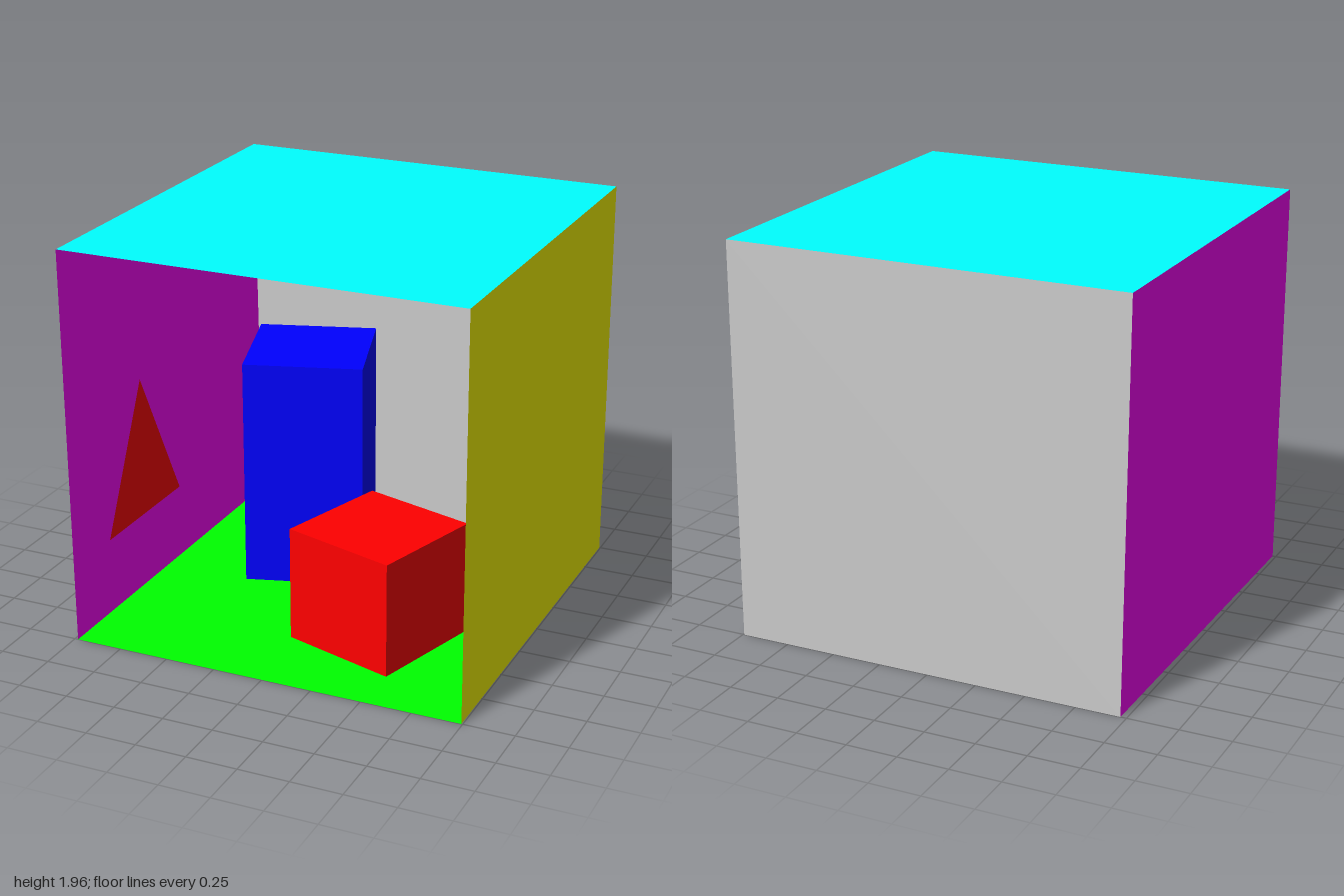
import * as THREE from 'three';

const TOP = 1.963, BASE = 0.018;

function paint(geometry, color, name) {
  const material = new THREE.MeshStandardMaterial({ color, side: THREE.DoubleSide, flatShading: true });
  const mesh = new THREE.Mesh(geometry, material);
  mesh.name = name;
  return mesh;
}

// Flat panel from three or four corners, fanned from the first one
function panel(name, color, corners) {
  const g = new THREE.BufferGeometry();
  g.setAttribute('position', new THREE.Float32BufferAttribute(corners.flat(), 3));
  g.setIndex(corners.length === 4 ? [0, 1, 2, 0, 2, 3] : [0, 1, 2]);
  g.computeVertexNormals();
  return paint(g, color, name);
}

// Upright block from its footprint, given as [x, z] corners
function block(name, color, footprint, top) {
  const shape = new THREE.Shape(footprint.map(([x, z]) => new THREE.Vector2(x, -z)));
  const g = new THREE.ExtrudeGeometry(shape, { depth: top - BASE, bevelEnabled: false });
  g.rotateX(-Math.PI / 2).translate(0, BASE, 0);
  return paint(g, color, name);
}

export function createModel() {
  const room = new THREE.Group();
  room.name = 'openRoom';

  const w = 0.994; // half width; the purple wall leans in slightly at its foot
  const footFront = -0.983, footBack = -0.971;

  // Room shell, open at the front
  room.add(
    panel('floor', 0x00ff00, [[footFront, 0, 1], [w, 0, 1], [w, 0, -1], [footBack, 0, -1]]),
    panel('ceiling', 0x00ffff, [[-w, TOP, 1], [-w, TOP, -1], [w, TOP, -1], [w, TOP, 1]]),
    panel('backWall', 0xcccccc, [[footBack, 0, -1], [w, 0, -1], [w, TOP, -1], [-w, TOP, -1]]),
    panel('leftWall', 0xffff00, [[w, 0, -1], [w, 0, 1], [w, TOP, 1], [w, TOP, -1]]),
    panel('rightWall', 0xff00ff, [[footFront, 0, 1], [footBack, 0, -1], [-w, TOP, -1], [-w, TOP, 1]]),
  );

  // Triangle lying just off the leaning wall
  const onWall = (y, z) => {
    const foot = THREE.MathUtils.lerp(footBack, footFront, (z + 1) / 2);
    return [THREE.MathUtils.lerp(foot, -w, y / TOP) + 0.006, y, z];
  };
  room.add(panel('wallTriangle', 0xff0000, [onWall(0.385, 0.67), onWall(0.385, -0.04), onWall(1.1, 0.315)]));

  // Ceiling light panel
  const y = TOP - 0.003;
  room.add(panel('ceilingLight', 0xcccccc,
    [[-0.23, y, 0.19], [0.23, y, 0.19], [0.23, y, -0.19], [-0.23, y, -0.19]]));

  // Turned blocks
  room.add(
    block('shortBlock', 0xff0000, [[0.529, 0.768], [0.701, 0.195], [0.136, 0.027], [-0.043, 0.592]], 0.59),
    block('tallBlock', 0x0000ff, [[-0.519, 0.117], [0.046, -0.059], [-0.129, -0.631], [-0.694, -0.452]], 1.18),
  );
  return room;
}
